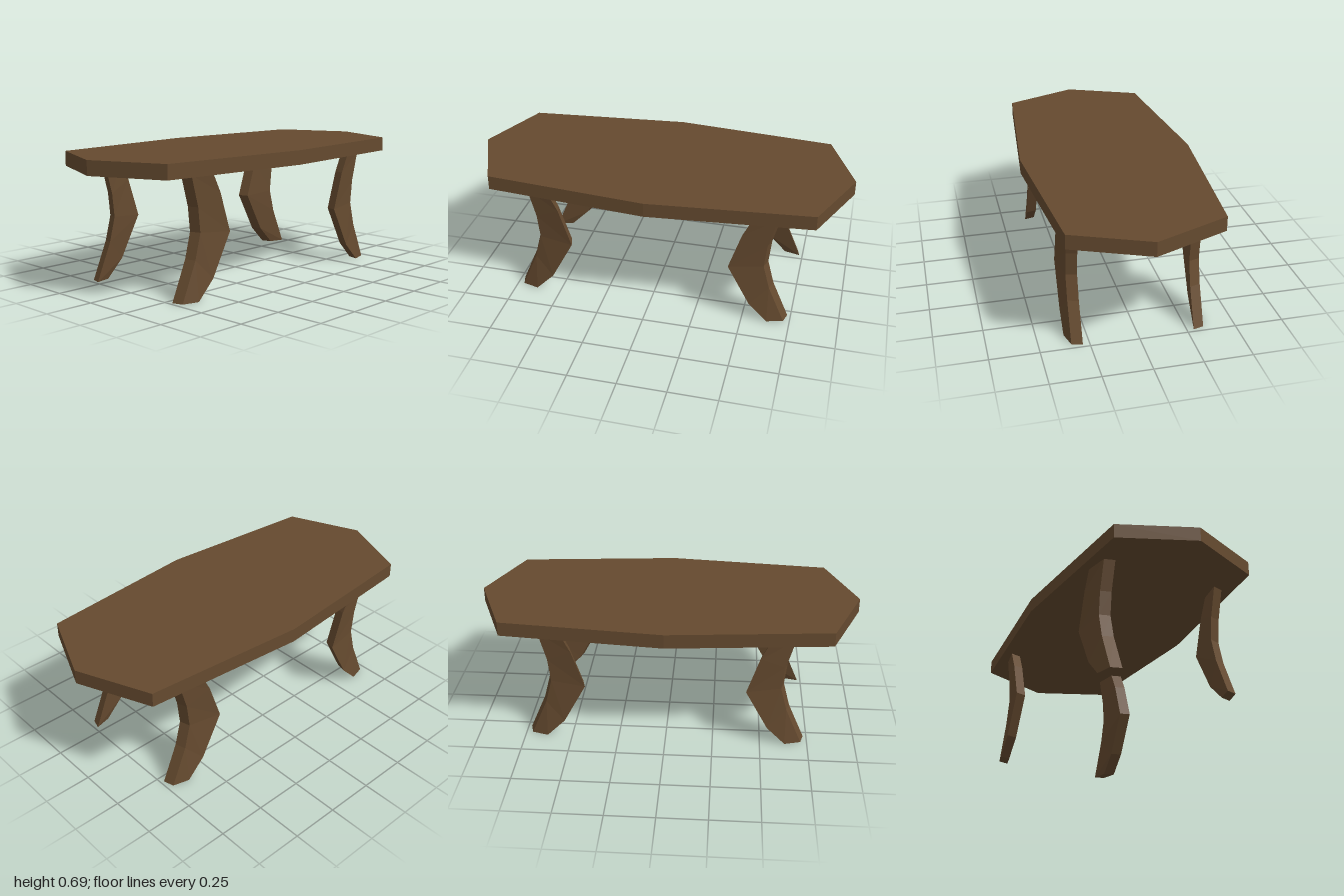
import * as THREE from 'three';

const TOP = 0.687, UNDER = 0.612;

// Leg levels, foot to top: [inner x, inner y, outer x, outer y]
const LEVELS = [
  [0.632, 0, 0.733, 0],
  [0.535, 0.097, 0.647, 0.2],
  [0.417, 0.315, 0.613, 0.33],
  [0.482, 0.515, 0.626, 0.455],
  [0.53, UNDER, 0.668, UNDER],
];

// Bowed leg with a slightly twisted four-sided section, mirrored by sx and sz
function legGeometry(sx, sz) {
  const twist = 0.016, pos = [], index = [];
  for (const [xi, yi, xo, yo] of LEVELS) {
    const ring = [
      [xi, yi, 0.363], [xo - twist, yo, 0.34],
      [xo, yo, 0.285], [xi + twist, yi, 0.306],
    ];
    for (const [x, y, z] of ring) pos.push(x * sx, y, z * sz);
  }
  const tri = (a, b, c) => (sx * sz > 0 ? index.push(a, b, c) : index.push(a, c, b));
  const last = (LEVELS.length - 1) * 4;
  for (let r = 0; r < last; r += 4) {
    for (let j = 0; j < 4; j++) {
      const k = (j + 1) % 4;
      tri(r + j, r + k, r + 4 + k);
      tri(r + j, r + 4 + k, r + 4 + j);
    }
  }
  // foot and top caps
  tri(0, 2, 1);
  tri(0, 3, 2);
  tri(last, last + 1, last + 2);
  tri(last, last + 2, last + 3);
  const g = new THREE.BufferGeometry();
  g.setAttribute('position', new THREE.Float32BufferAttribute(pos, 3));
  g.setIndex(index);
  const flat = g.toNonIndexed();
  flat.computeVertexNormals();
  return flat;
}

export function createModel() {
  const group = new THREE.Group();
  group.name = 'table';
  const wood = new THREE.MeshStandardMaterial({ color: 0x654a2f });
  wood.name = 'brown wood';

  // Eight-sided tabletop slab
  const outline = [
    [1, 0], [0.842, 0.382], [0, 0.458], [-0.842, 0.382],
    [-1, 0], [-0.842, -0.382], [0, -0.458], [0.842, -0.382],
  ].map(([x, y]) => new THREE.Vector2(x, y));
  const slab = new THREE.ExtrudeGeometry(new THREE.Shape(outline), { depth: TOP - UNDER, bevelEnabled: false });
  slab.rotateX(-Math.PI / 2);
  slab.translate(0, UNDER, 0);
  const top = new THREE.Mesh(slab, wood);
  top.name = 'tabletop';
  group.add(top);

  // Four mirrored legs
  for (const sx of [1, -1]) {
    for (const sz of [1, -1]) {
      const leg = new THREE.Mesh(legGeometry(sx, sz), wood);
      leg.name = (sz > 0 ? 'front' : 'back') + (sx > 0 ? 'Left' : 'Right') + 'Leg';
      group.add(leg);
    }
  }
  return group;
}
